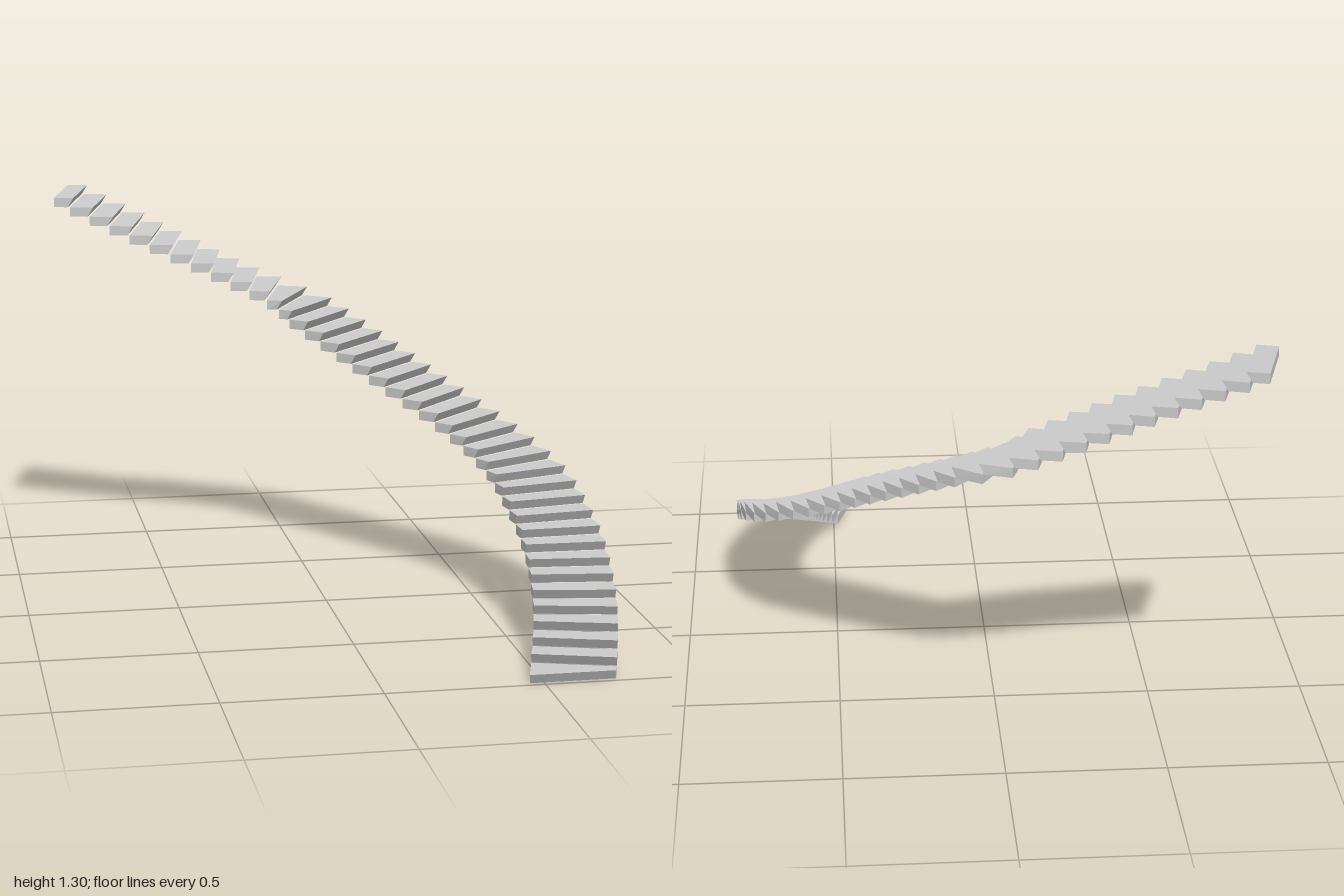
import * as THREE from 'three';

const STEPS = 40, RISE = 0.0323, HALF_WIDTH = 0.131, NOSING = 0.02, TILT = 0.006;

// Centre line of the flight in plan, from the foot to the top
const path = new THREE.CatmullRomCurve3([
  [0.585, 1], [0.668, 0.72], [0.706, 0.45], [0.7, 0.27], [0.664, 0.08], [0.57, -0.09],
  [0.335, -0.345], [0.1, -0.585], [0.01, -0.66], [-0.085, -0.697], [-0.425, -0.775], [-0.798, -0.878],
].map(([x, z]) => new THREE.Vector3(x, 0, z)), false, 'centripetal');
path.arcLengthDivisions = 800;

// Inner and outer plan points of the line crossing the path at step i, moved along it by shift
function crossLine(i, shift = 0) {
  const u = Math.min(i / STEPS, 1);
  const p = path.getPointAt(u), t = path.getTangentAt(u);
  p.addScaledVector(t, shift);
  // The foot of the flight is cut square to z
  const side = i === 0
    ? new THREE.Vector3(0.135, 0, 0)
    : new THREE.Vector3(-t.z, 0, t.x).multiplyScalar(HALF_WIDTH);
  return [p.clone().sub(side), p.clone().add(side)];
}

// One solid wedge step with a riser that leans back under its nosing
function stepGeometry(i) {
  const overlap = i < STEPS - 1 ? 0.012 : 0;
  const tilt = TILT * i / (STEPS - 1);
  const y0 = i * RISE, y1 = y0 + RISE;
  const back = crossLine(i + 1, overlap);
  const corners = [];
  for (const [y, front] of [[y0, crossLine(i, NOSING)], [y1, crossLine(i)]]) {
    const ring = [front[0], front[1], back[1], back[0]];
    ring.forEach((p, k) => corners.push(p.x, y + (k === 1 || k === 2 ? tilt : -tilt), p.z));
  }
  const index = [4, 5, 6, 4, 6, 7, 0, 2, 1, 0, 3, 2]; // tread and underside
  for (let k = 0; k < 4; k++) {
    const n = (k + 1) % 4;
    index.push(k, n, n + 4, k, n + 4, k + 4);
  }
  const g = new THREE.BufferGeometry();
  g.setAttribute('position', new THREE.Float32BufferAttribute(corners, 3));
  g.setIndex(index);
  const flat = g.toNonIndexed();
  flat.computeVertexNormals();
  return flat;
}

export function createModel() {
  const group = new THREE.Group();
  group.name = 'curvedStaircase';
  const material = new THREE.MeshStandardMaterial({ color: 0xcccccc, flatShading: true });
  for (let i = 0; i < STEPS; i++) {
    const step = new THREE.Mesh(stepGeometry(i), material);
    step.name = `step${i + 1}`;
    group.add(step);
  }
  return group;
}
